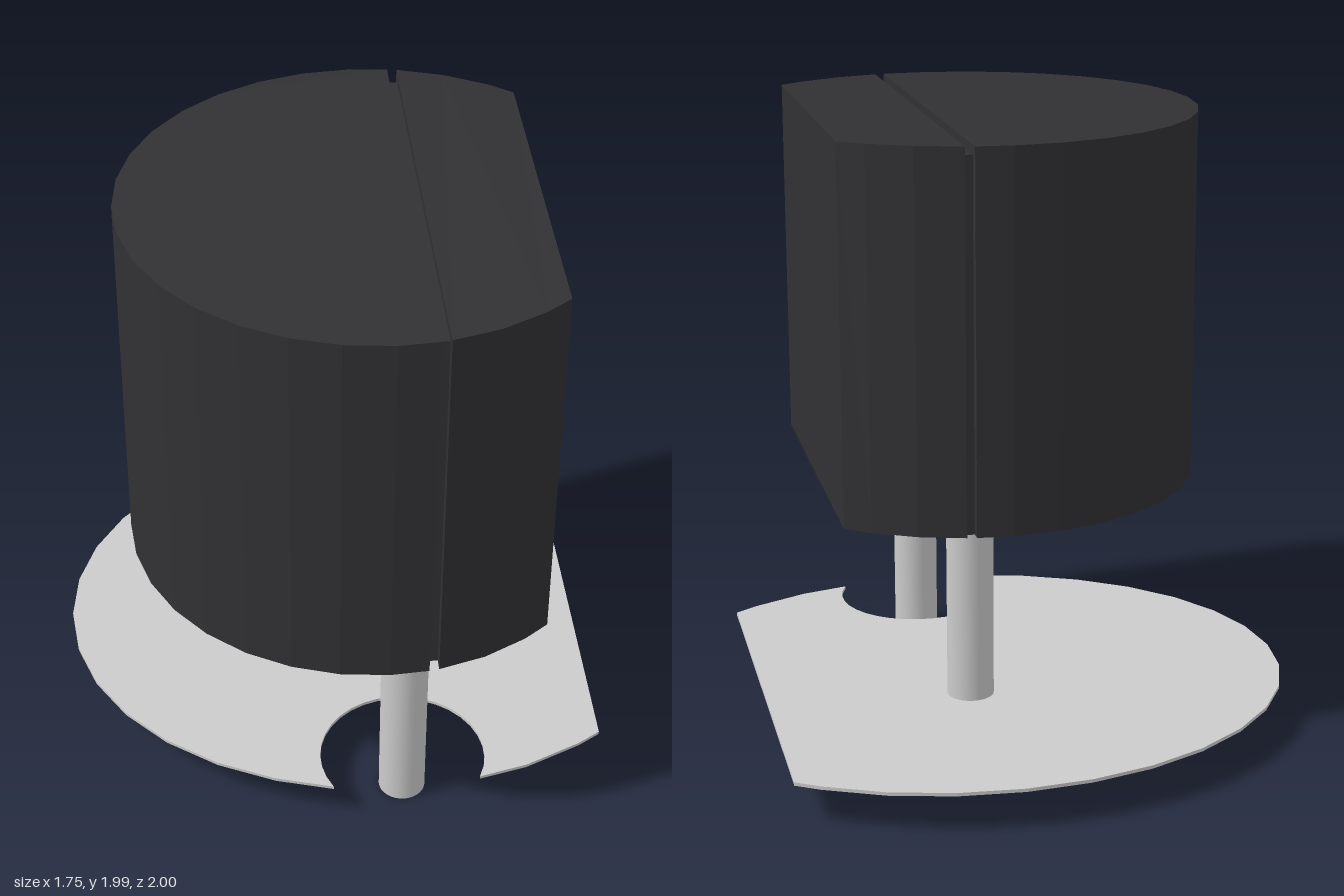
import * as THREE from 'three';

const SIDES = 32;
const BODY = { x: 0.13, z: 0.223, rx: 0.773, rz: 0.773 };
const PLATE = { x: 0.2, z: -0.075, rx: 1.075, rz: 0.925 };
const LEG = { x: 0.21, front: 0.7, back: -0.245, r: 0.076 };

// Faceted ellipse kept between x0 and x1, as [x, z] points from front right, round by the left, to back right
function slice(e, x0, x1) {
  const a = (x) => Math.acos(THREE.MathUtils.clamp((x - e.x) / e.rx, -1, 1));
  const start = a(x1), end = a(x0);
  const angles = [start];
  for (let i = 0; i <= SIDES / 2; i++) {
    const t = (i / SIDES) * Math.PI * 2;
    if (t > start + 0.001 && t < end - 0.001) angles.push(t);
  }
  angles.push(end);
  const side = (s) => angles.map((t) => [e.x + e.rx * Math.cos(t), e.z + s * e.rz * Math.sin(t)]);
  const front = side(1), back = side(-1).reverse();
  // A full left end meets in a single point
  return front.concat(end > Math.PI - 0.001 ? back.slice(1) : back);
}

// Upright prism on a floor outline of [x, z] points
function prism(name, points, y0, y1, material) {
  const shape = new THREE.Shape(points.map(([x, z]) => new THREE.Vector2(x, -z)));
  const geometry = new THREE.ExtrudeGeometry(shape, { depth: y1 - y0, bevelEnabled: false });
  geometry.rotateX(-Math.PI / 2).translate(0, y0, 0);
  const mesh = new THREE.Mesh(geometry, material);
  mesh.name = name;
  return mesh;
}

export function createModel() {
  const model = new THREE.Group();
  model.name = 'flatSidedComponent';
  const dark = new THREE.MeshStandardMaterial({ color: 0x313134 });
  const grey = new THREE.MeshStandardMaterial({ color: 0xcccccc });

  // Body: two halves with a recessed strip between them forming the groove
  const body = new THREE.Group();
  body.name = 'body';
  body.add(
    prism('roundHalf', slice(BODY, -1, 0.25), 0.77, 1.99, dark),
    prism('flatHalf', slice(BODY, 0.28, 0.637), 0.77, 1.99, dark),
    prism('grooveFloor', [[0.25, 0.943], [0.28, 0.943], [0.28, -0.507], [0.25, -0.507]], 0.77, 1.96, dark)
  );
  model.add(body);

  // Thin base plate with a round bite taken out around the front leg
  const bite = { x: LEG.x, z: LEG.front, r: 0.27 };
  const outline = slice(PLATE, -1, 0.872);
  const inBite = ([x, z]) => Math.hypot(x - bite.x, z - bite.z) < bite.r;
  const arc = [];
  const from = 0.464, to = 2.637 - Math.PI * 2;
  for (let i = 0; i <= 22; i++) {
    const t = from + ((to - from) * i) / 22;
    arc.push([bite.x + bite.r * Math.cos(t), bite.z + bite.r * Math.sin(t)]);
  }
  const first = outline.findIndex(inBite);
  const rim = outline.filter((p) => !inBite(p));
  rim.splice(first, 0, ...arc);
  model.add(prism('basePlate', rim, 0.12, 0.131, grey));

  // Legs
  for (const [name, z] of [['frontLeg', LEG.front], ['backLeg', LEG.back]]) {
    const leg = new THREE.Mesh(new THREE.CylinderGeometry(LEG.r, LEG.r, 0.77, SIDES), grey);
    leg.name = name;
    leg.position.set(LEG.x, 0.385, z);
    model.add(leg);
  }
  return model;
}
